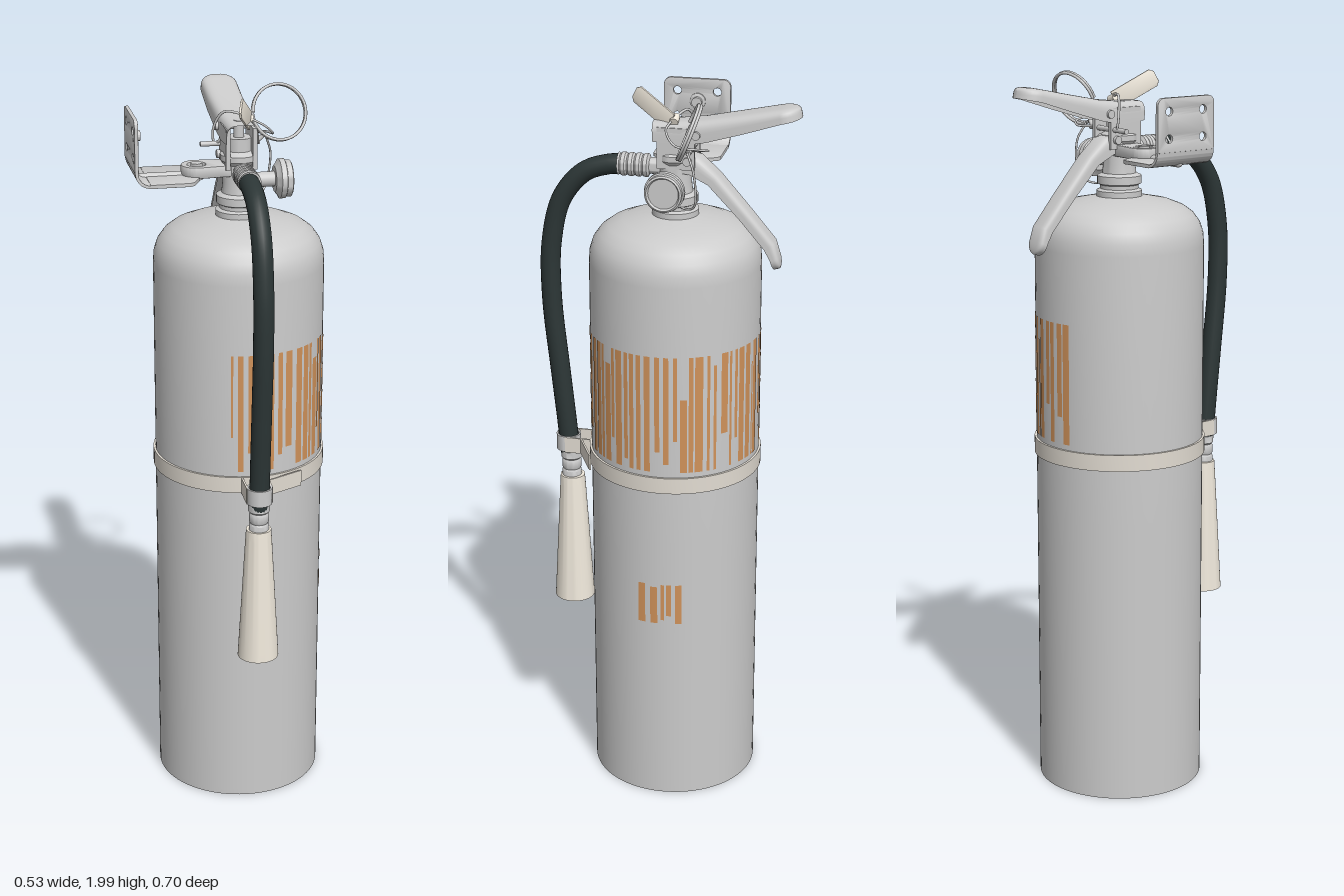
import * as THREE from 'three';
import { toCreasedNormals } from 'three/addons/utils/BufferGeometryUtils.js';

const CX = 0.025, CZ = -0.022, R = 0.23;
const mat = (color) => new THREE.MeshStandardMaterial({ color, side: THREE.DoubleSide });
const V = (x, y, z) => new THREE.Vector3(x, y, z);

export function createModel() {
  const root = new THREE.Group();
  const grey = mat(0xcccccc), rubber = mat(0x2c3636), cream = mat(0xf0e9dc);
  const band = mat(0xe2dcd2), orange = mat(0xd0925a);

  const add = (name, geo, m = grey, pos = [0, 0, 0], rot = [0, 0, 0]) => {
    const mesh = new THREE.Mesh(geo, m);
    mesh.name = name;
    mesh.position.set(...pos);
    mesh.rotation.set(...rot);
    root.add(mesh);
    return mesh;
  };
  const lathe = (pts, seg = 32) => toCreasedNormals(
    new THREE.LatheGeometry(pts.map((p) => new THREE.Vector2(...p)), seg), 0.6);
  const cyl = (r, h, seg = 24) => new THREE.CylinderGeometry(r, r, h, seg);
  const tube = (pts, r, n = 40, closed = false) =>
    new THREE.TubeGeometry(new THREE.CatmullRomCurve3(pts, closed), n, r, 10, closed);
  const slab = (shape, depth, bevel = 0.003) => toCreasedNormals(new THREE.ExtrudeGeometry(shape, {
    depth, bevelThickness: bevel, bevelSize: bevel, bevelOffset: -bevel, bevelSegments: 2, curveSegments: 16 }), 0.6);

  // Pressed U-channel swept along [z, y, halfWidth, depth] rows, with a rounded end
  const channel = (rows) => {
    const N = 16, all = rows.map((r) => [...r]);
    const [a, b] = rows.slice(-2), L = Math.hypot(b[0] - a[0], b[1] - a[1]);
    const tz = (b[0] - a[0]) / L, ty = (b[1] - a[1]) / L;
    for (let i = 1; i <= 8; i++) {
      const t = (i / 8) * Math.PI / 2, s = Math.sin(t) * b[2], drop = (1 - Math.cos(t)) * b[3] * 0.4;
      all.push([b[0] + tz * s - ty * drop, b[1] + ty * s + tz * drop, b[2] * Math.cos(t), b[3] - drop]);
    }
    const pos = [], idx = [];
    all.forEach(([z, y, w, d], i) => {
      const p = all[Math.max(0, i - 1)], q = all[Math.min(rows.length - 1, i + 1)];
      let dz = q[0] - p[0], dy = q[1] - p[1];
      if (i >= rows.length - 1) { dz = tz; dy = ty; }
      const l = Math.hypot(dz, dy);
      for (let j = 0; j <= N; j++) {
        const t = (j / N) * Math.PI, c = Math.cos(t);
        const drop = d * (1 - Math.sqrt(Math.max(0, Math.sin(t))));
        pos.push(CX + w * Math.sign(c) * Math.sqrt(Math.abs(c)), y + dz / l * drop, z - dy / l * drop);
        if (i && j) {
          const k = i * (N + 1) + j;
          idx.push(k, k - 1, k - N - 2, k, k - N - 2, k - N - 1);
        }
      }
    });
    const g = new THREE.BufferGeometry();
    g.setAttribute('position', new THREE.Float32BufferAttribute(pos, 3));
    g.setIndex(idx);
    g.computeVertexNormals();
    return g;
  };

  // Tank with a recessed base and rounded shoulder
  add('tank', lathe([[0, 0.1], [0.08, 0.092], [0.15, 0.07], [0.2, 0.04], [0.221, 0.012], [0.222, 0], [R, 0], [R, 0.02],
    [R, 0.8], [R, 1.53], [0.228, 1.56], [0.219, 1.588], [0.202, 1.612], [0.178, 1.63], [0.14, 1.645],
    [0.09, 1.655], [0.062, 1.66]], 72), grey, [CX, 0, CZ]);

  // Neck collar and valve body
  add('neckCollar', lathe([[0.062, 1.65], [0.062, 1.675], [0.052, 1.68], [0.052, 1.69], [0.06, 1.694], [0.06, 1.715],
    [0.046, 1.722], [0.043, 1.75], [0.043, 1.8], [0.05, 1.81], [0.05, 1.825], [0.034, 1.835], [0.034, 1.87], [0, 1.87]]),
  grey, [CX, 0, CZ]);
  for (const s of [-1, 1])
    add('valveCheek', new THREE.BoxGeometry(0.012, 0.11, 0.1), grey, [CX + s * 0.036, 1.845, -0.03]);
  add('valveStem', cyl(0.014, 0.07), grey, [CX, 1.88, CZ]);

  // Carrying handle and squeeze lever
  add('upperHandle', channel([[0.033, 1.912, 0.043, 0.05], [-0.04, 1.915, 0.043, 0.06], [-0.1, 1.922, 0.046, 0.055],
    [-0.2, 1.942, 0.05, 0.045], [-0.298, 1.962, 0.05, 0.034]]));
  add('lowerLever', channel([[-0.04, 1.83, 0.036, 0.05], [-0.09, 1.82, 0.036, 0.05], [-0.14, 1.775, 0.034, 0.035],
    [-0.22, 1.683, 0.033, 0.03], [-0.29, 1.6, 0.032, 0.03], [-0.302, 1.56, 0.032, 0.022]]));
  for (const [y, z] of [[1.885, -0.085], [1.815, -0.062]])
    add('rivet', cyl(0.011, 0.105, 16), grey, [CX, y, z], [0, 0, Math.PI / 2]);

  // Pressure gauge facing +x
  add('gaugeStem', cyl(0.02, 0.09), grey, [0.085, 1.752, -0.017], [0, 0, Math.PI / 2]);
  add('gauge', lathe([[0, 0], [0.035, 0], [0.045, 0.008], [0.053, 0.012], [0.053, 0.026], [0.049, 0.028], [0.049, 0.042],
    [0.044, 0.045], [0.04, 0.038], [0, 0.038]]), grey, [0.12, 1.752, -0.017], [0, 0, -Math.PI / 2]);

  // Safety pin with a double-wound pull ring
  add('safetyPin', cyl(0.007, 0.16, 12), grey, [0.01, 1.842, -0.068], [0, 0, Math.PI / 2]);
  const ringPts = [];
  for (let i = 0; i <= 48; i++) {
    const a = Math.PI + (i / 48) * Math.PI * 4;
    ringPts.push(V(0.074 * Math.cos(a), 0.074 * Math.sin(a), -0.007 + 0.014 * i / 48));
  }
  add('pullRing', tube(ringPts, 0.004, 120), grey, [0.146, 1.915, -0.083], [-0.4, 0.12, 0]);
  add('pinLink', tube([V(0.075, 1.842, -0.068), V(0.09, 1.85, -0.066), V(0.1, 1.86, -0.064)], 0.006, 10));

  // Seal tag, its crimp and the wire loops
  const tag = new THREE.Shape([[0, -0.025], [0.12, -0.025], [0.13, -0.015], [0.13, 0.015], [0.12, 0.025], [0, 0.025]]
    .map((p) => new THREE.Vector2(...p)));
  const dir = V(-0.045, 0.062, 0.105).normalize();
  const side = V(0.9, 0, 0.4).cross(dir).normalize();
  const up = side.clone().multiplyScalar(Math.sign(side.y));
  const tagMesh = add('sealTag', slab(tag, 0.004, 0.001), cream);
  tagMesh.quaternion.setFromRotationMatrix(new THREE.Matrix4().makeBasis(dir, up, dir.clone().cross(up)));
  tagMesh.position.set(0.055, 1.912, -0.015);
  add('sealCrimp', cyl(0.012, 0.026, 12), cream, [0.048, 1.918, -0.024], [0, 0, 1.2]);
  add('sealWire', tube([V(0.048, 1.925, -0.024), V(-0.01, 1.93, -0.05), V(-0.035, 1.88, -0.068), V(-0.03, 1.84, -0.07),
    V(0, 1.89, -0.04)], 0.0035));
  add('sealWireLoop', tube([V(0.05, 1.92, -0.02), V(0.09, 1.9, -0.01), V(0.12, 1.87, -0.04), V(0.11, 1.86, -0.1),
    V(0.08, 1.85, -0.12), V(0.07, 1.845, -0.07)], 0.003));
  add('tetherWire', tube([V(0.11, 1.85, -0.07), V(0.125, 1.8, -0.09), V(0.11, 1.71, -0.09), V(0.08, 1.69, -0.06),
    V(0.07, 1.7, -0.03)], 0.003));

  // Hanging lug on the valve, with its pin
  const lug = new THREE.Shape();
  lug.moveTo(0.06, -0.036).lineTo(0, -0.042).absarc(0, 0, 0.042, -Math.PI / 2, Math.PI / 2, true).lineTo(0.09, 0.036)
    .lineTo(0.09, -0.036).lineTo(0.06, -0.036);
  lug.holes.push(new THREE.Path().absarc(0, 0, 0.024, 0, Math.PI * 2));
  add('hangingLug', slab(lug, 0.022, 0.005), grey, [-0.088, 1.775, -0.024], [-Math.PI / 2, 0, 0]);
  add('lugPin', cyl(0.017, 0.045, 6), grey, [-0.088, 1.782, -0.024]);

  // Wall bracket: bent plate, ribbed shelf and drilled back
  const BZ = -0.0225;
  const back = new THREE.Shape();
  back.moveTo(-0.092, 0).lineTo(0.092, 0).lineTo(0.092, 0.12).absarc(0.072, 0.12, 0.02, 0, Math.PI / 2)
    .lineTo(-0.072, 0.14).absarc(-0.072, 0.12, 0.02, Math.PI / 2, Math.PI).lineTo(-0.092, 0);
  for (const [u, v, r] of [[-0.055, 0.105, 0.011], [0.055, 0.105, 0.011], [-0.055, 0.035, 0.011], [0.055, 0.035, 0.011]])
    back.holes.push(new THREE.Path().absarc(u, v, r, 0, Math.PI * 2));
  add('bracketBack', slab(back, 0.008, 0.001), grey, [-0.264, 1.807, BZ], [0, Math.PI / 2, 0]);
  const bend = new THREE.Shape().absarc(0, 0, 0.04, Math.PI, Math.PI * 1.5).absarc(0, 0, 0.032, Math.PI * 1.5, Math.PI, true);
  add('bracketBend', slab(bend, 0.184, 0.0005), grey, [-0.224, 1.807, BZ - 0.092]);
  const shelf = new THREE.Shape([[-0.224, -0.092], [-0.12, -0.092], [-0.108, -0.085], [-0.088, -0.045], [-0.088, 0.045],
    [-0.108, 0.085], [-0.12, 0.092], [-0.224, 0.092]].map((p) => new THREE.Vector2(...p)));
  add('bracketShelf', slab(shelf, 0.008, 0.001), grey, [0, 1.767, BZ], [-Math.PI / 2, 0, 0]);
  add('bracketRib', new THREE.CapsuleGeometry(0.011, 0.12, 6, 12), grey, [-0.175, 1.773, -0.024], [0, 0, Math.PI / 2]);
  add('bracketBolt', lathe([[0, 0], [0.022, 0], [0.022, 0.006], [0.014, 0.009], [0.014, 0.02], [0, 0.02]], 18),
    grey, [-0.257, 1.885, -0.024], [0, 0, -Math.PI / 2]);

  // Outlet with crimped ferrule
  const ferrule = [[0.018, -0.04], [0.022, 0], [0.022, 0.045]];
  for (let i = 0; i < 4; i++) ferrule.push([0.031, 0.05 + i * 0.02], [0.031, 0.06 + i * 0.02], [0.027, 0.065 + i * 0.02]);
  ferrule.push([0.03, 0.13], [0, 0.13]);
  add('outletFerrule', lathe(ferrule), grey, [CX, 1.785, 0], [Math.PI / 2, 0, 0]);

  // Hose
  add('hose', new THREE.TubeGeometry(new THREE.CatmullRomCurve3([[1.785, 0.11], [1.78, 0.16], [1.755, 0.225], [1.68, 0.287],
    [1.555, 0.318], [1.4, 0.321], [1.19, 0.302], [1.05, 0.288], [0.93, 0.277]].map(([y, z]) => V(0.023, y, z))), 80, 0.027, 20), rubber);

  // Nozzle coupling and horn
  add('nozzleCoupling', lathe([[0, 0.86], [0.027, 0.86], [0.027, 0.885], [0.024, 0.89], [0.027, 0.895], [0.027, 0.915],
    [0.024, 0.92], [0.029, 0.925], [0.029, 0.945], [0, 0.945]]), grey, [0.023, 0, 0.275]);
  add('nozzle', lathe([[0, 0.8], [0.03, 0.78], [0.051, 0.49], [0.056, 0.49], [0.036, 0.84], [0.034, 0.87], [0, 0.872]], 40),
    cream, [0.023, 0, 0.273]);

  // Strap with hose clip
  add('strap', lathe([[0.229, 0.95], [0.236, 0.95], [0.236, 0.995], [0.229, 0.995]], 72), band, [CX, 0, CZ]);
  add('strapTail', new THREE.BoxGeometry(0.11, 0.044, 0.005), band, [0.107, 0.972, 0.213], [0, 0.46, 0]);
  add('hoseClip', lathe([[0.029, 0.95], [0.034, 0.95], [0.034, 0.995], [0.029, 0.995], [0.029, 0.95]]), grey, [0.023, 0, 0.282]);
  for (const s of [-1, 1])
    add('clipArm', new THREE.BoxGeometry(0.005, 0.045, 0.08), band, [0.023 + s * 0.033, 0.972, 0.245]);

  // Painted label streaks wrapped around the tank
  let seed = 7;
  const rnd = () => (seed = (seed * 16807) % 2147483647) / 2147483647;
  const streaks = (from, to, y0, y1) => {
    for (let a = from; a < to;) {
      const w = 1.5 + rnd() * 4, full = rnd() < 0.5;
      const h = (y1 - y0) * (full ? 1 : 0.6 + rnd() * 0.35), top = full || rnd() < 0.7;
      add('labelStreak', new THREE.CylinderGeometry(R + 0.0012, R + 0.0012, h, 3, 1, true,
        THREE.MathUtils.degToRad(a), THREE.MathUtils.degToRad(w)), orange, [CX, top ? y1 - h / 2 : y0 + h / 2, CZ]);
      a += w + 0.8 + rnd() * 3.2;
    }
  };
  streaks(-16, 82, 1.01, 1.34);
  streaks(88, 195, 1.01, 1.34);
  streaks(76, 102, 0.55, 0.67);

  return root;
}
